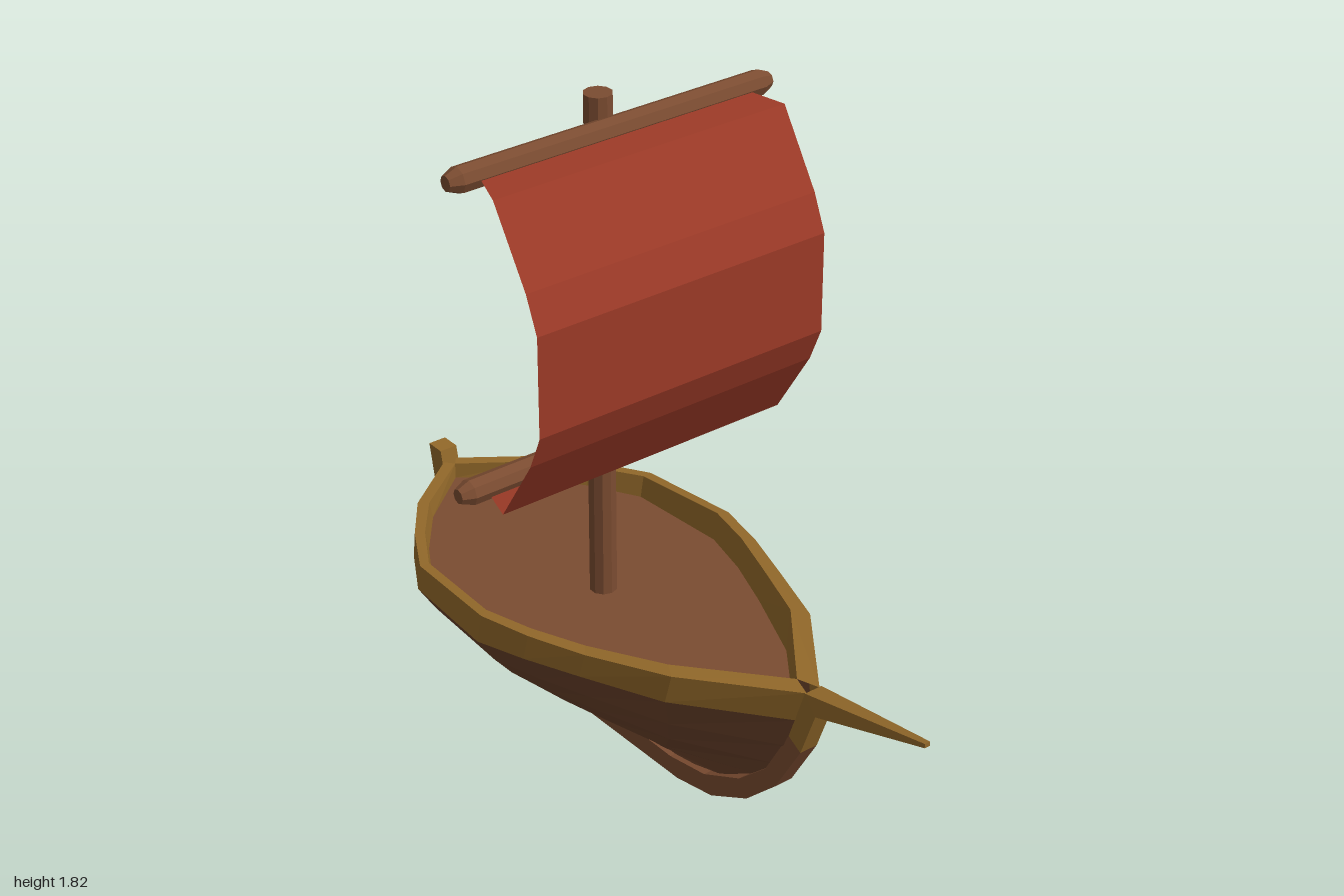
import * as THREE from 'three';

const mat = (name, color, side = THREE.DoubleSide) =>
  new THREE.MeshStandardMaterial({ name, color, side, flatShading: true });

// Skin a list of cross-sections (each a list of [x, y, z]) with flat facets
function loft(sections) {
  const pos = [];
  const V = p => new THREE.Vector3(...p);
  const tri = (a, b, c) => {
    const area = V(b).sub(V(a)).cross(V(c).sub(V(a))).length();
    if (area > 1e-8) pos.push(...a, ...b, ...c);
  };
  for (let i = 0; i < sections.length - 1; i++) {
    const s = sections[i], t = sections[i + 1];
    for (let j = 0; j < s.length - 1; j++) {
      tri(s[j], s[j + 1], t[j]);
      tri(s[j + 1], t[j + 1], t[j]);
    }
  }
  const g = new THREE.BufferGeometry();
  g.setAttribute('position', new THREE.Float32BufferAttribute(pos, 3));
  g.computeVertexNormals();
  return g;
}

// Closed rectangular beam along [outerZ, outerY, innerZ, innerY, halfWidth] stations
function beam(stations) {
  const rings = stations.map(([zo, yo, zi, yi, w]) =>
    [[w, yo, zo], [-w, yo, zo], [-w, yi, zi], [w, yi, zi], [w, yo, zo]]);
  const cap = ([zo, yo, zi, yi]) => Array(5).fill([0, (yo + yi) / 2, (zo + zi) / 2]);
  return loft([cap(stations[0]), ...rings, cap(stations[stations.length - 1])]);
}

const lerp = THREE.MathUtils.lerp;
const mirrorX = ([x, y, z]) => [-x, y, z];

// Hull stations, bow to stern: [fraction, half width, rim height, strake bottom height]
const STATIONS = [
  [0, 0.02, 0.555, 0.46], [0.175, 0.22, 0.54, 0.455], [0.325, 0.31, 0.515, 0.445],
  [0.43, 0.365, 0.507, 0.435], [0.53, 0.4, 0.5, 0.42], [0.73, 0.378, 0.482, 0.412],
  [0.825, 0.297, 0.476, 0.407], [0.91, 0.2, 0.47, 0.402], [1, 0.02, 0.465, 0.4],
];
// Hull rows, strake to keel: [height fraction, width factor, bow z, stern z]
const ROWS = [
  [1, 1.02, 0.575, -0.935], [0.76, 0.87, 0.54, -0.93], [0.55, 0.71, 0.485, -0.915],
  [0.35, 0.53, 0.4, -0.88], [0.15, 0.25, 0.27, -0.8], [0, 0.03, 0.06, -0.63],
];
const KEEL_Y = 0.05, DECK_Y = 0.42;

export function createModel() {
  const model = new THREE.Group();
  model.name = 'sailingBoat';
  const wood = mat('wood', 0x7b4c31);
  const plank = mat('hull planks', 0x6c432b);
  const gold = mat('ochre trim', 0x93692a);
  const cloth = mat('red sail', 0x9c3a27);

  const add = (name, geometry, material, parent = model) => {
    const m = new THREE.Mesh(geometry, material);
    m.name = name;
    parent.add(m);
    return m;
  };

  // Planked hull below the strake
  add('hull', loft(STATIONS.map(([s, w, , low]) => {
    const half = ROWS.map(([h, f, zb, zs]) =>
      [Math.max(w * f, 0.01), lerp(KEEL_Y, low, h), lerp(zb, zs, s)]);
    return [...half, ...half.map(mirrorX).reverse()];
  })), plank);

  // Raised strake: inner wall, rim and outer face on each side
  const innerX = w => Math.max(w - 0.026, 0);
  const innerZ = s => lerp(0.54, -0.915, s);
  const deckX = w => Math.max(w - 0.036, 0);
  for (const side of [1, -1]) {
    add(side > 0 ? 'leftStrake' : 'rightStrake', loft(STATIONS.map(([s, w, rim, low]) => {
      const pts = [
        [deckX(w), DECK_Y, innerZ(s)], [innerX(w), rim, innerZ(s)],
        [w, rim, lerp(0.6, -0.94, s)], [w * 1.02, low, lerp(0.575, -0.935, s)],
      ];
      return side > 0 ? pts : pts.map(mirrorX).reverse();
    })), gold);
  }

  // Flat deck
  add('deck', loft(STATIONS.map(([s, w]) =>
    [[-deckX(w), DECK_Y, innerZ(s)], [deckX(w), DECK_Y, innerZ(s)]])), wood);

  // Bowsprit, keel and sternpost form one continuous backbone
  const W = 0.026;
  const stem = [0.59, 0.375, 0.545, 0.4, W], heel = [-0.98, 0.4, -0.925, 0.4, W];
  add('bowsprit', beam([
    [1, 0.622, 1, 0.634, 0.008], [0.64, 0.51, 0.6, 0.557, W], stem,
  ]), gold);
  add('keel', beam([
    stem, [0.5, 0.22, 0.46, 0.25, W], [0.39, 0.115, 0.36, 0.16, W],
    [0.25, 0.04, 0.22, 0.09, W], [0.11, 0.012, 0.08, 0.065, W], [-0.6, 0, -0.6, 0.06, W],
    [-0.75, 0.02, -0.73, 0.075, W], [-0.92, 0.14, -0.865, 0.165, W],
    [-0.972, 0.28, -0.92, 0.29, W], heel,
  ]), wood);
  add('sternpost', beam([heel, [-1, 0.5, -0.945, 0.5, W]]), gold);

  // Mast
  const mast = add('mast', new THREE.CylinderGeometry(0.037, 0.037, 1.41, 10), wood);
  mast.position.set(-0.005, 1.115, -0.23);

  // Upper and lower yards with chamfered ends
  const yardProfile = [[0, -0.478], [0.02, -0.478], [0.034, -0.445],
    [0.034, 0.445], [0.02, 0.478], [0, 0.478]].map(p => new THREE.Vector2(...p));
  for (const [name, y] of [['upperYard', 1.74], ['lowerYard', 0.9]]) {
    const yard = add(name, new THREE.LatheGeometry(yardProfile, 8), wood);
    yard.rotation.z = Math.PI / 2;
    yard.position.set(0, y, -0.18);
  }

  // Billowing square sail, top to bottom: [height from centre, z, half width]
  const upper = [[0.43, -0.18, 0.39], [0.42, -0.06, 0.43], [0.23, 0.06, 0.43], [0.135, 0.1, 0.43]];
  const profile = [...upper, ...upper.map(([y, z, w]) => [-y, z, w]).reverse()];
  add('sail', loft(profile.map(([y, z, w]) => [[w, 1.31 + y, z], [-w, 1.31 + y, z]]).map(r => r.reverse())
    .reverse().map(r => r.reverse())), cloth);

  return model;
}
